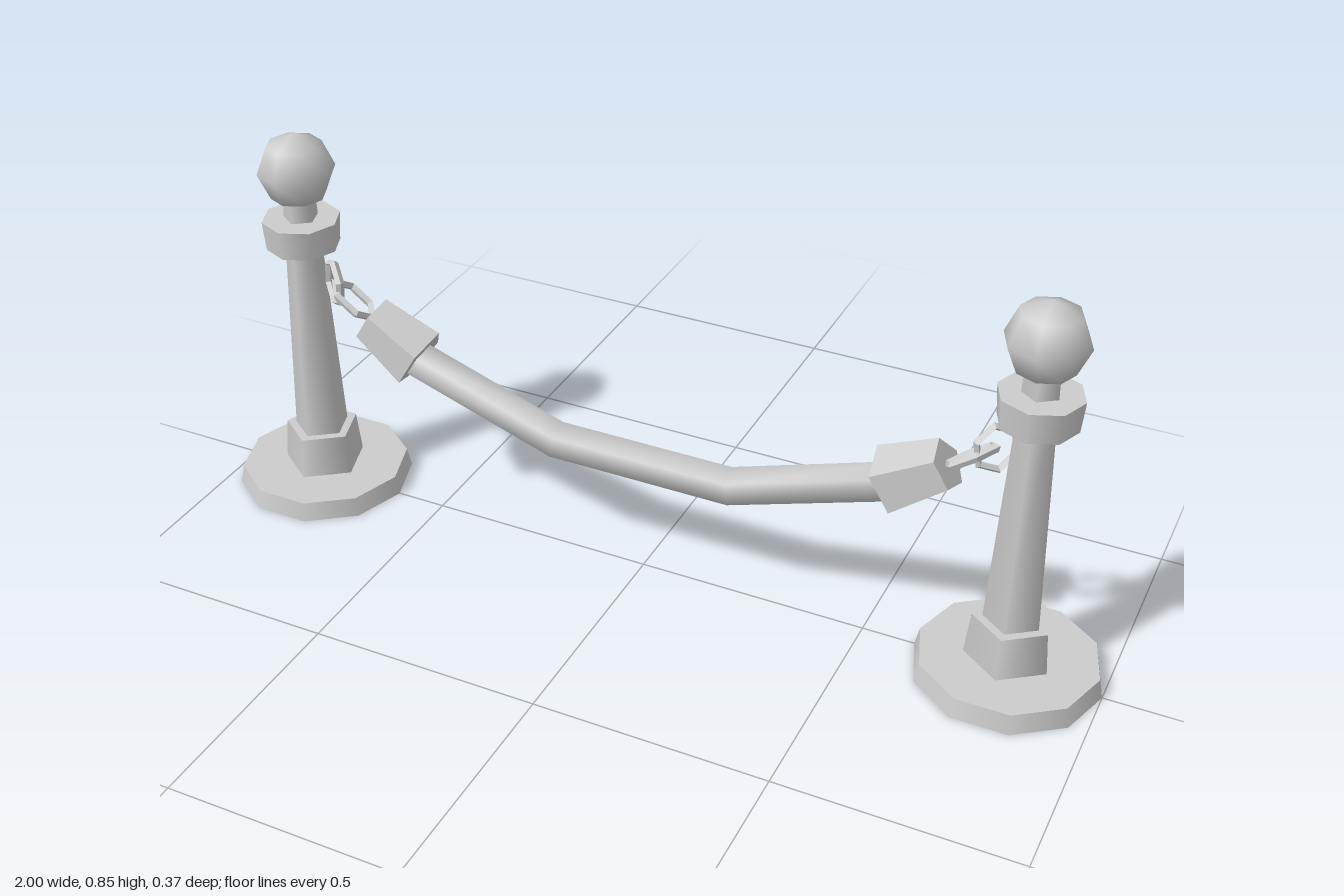
import * as THREE from 'three';

const smooth = new THREE.MeshStandardMaterial({ color: 0xcccccc });
const flat = new THREE.MeshStandardMaterial({ color: 0xcccccc, flatShading: true });
const shell = new THREE.MeshStandardMaterial({ color: 0xcccccc, side: THREE.DoubleSide });

function add(parent, name, geometry, material = smooth) {
  const mesh = new THREE.Mesh(geometry, material);
  mesh.name = name;
  parent.add(mesh);
  return mesh;
}

// Upright tapered prism between two heights
function prism(rTop, rBottom, y0, y1, sides, open = false, turn = 0) {
  return new THREE.CylinderGeometry(rTop, rBottom, y1 - y0, sides, 1, open, turn)
    .translate(0, (y0 + y1) / 2, 0);
}

// Horizontal polygon with a polygonal hole
function plate(rOuter, outerSides, turn, rInner, innerSides, y) {
  const ring = (r, n, t) => Array.from({ length: n }, (_, i) => {
    const a = t + (i / n) * Math.PI * 2;
    return new THREE.Vector2(r * Math.sin(a), -r * Math.cos(a));
  });
  const shape = new THREE.Shape(ring(rOuter, outerSides, turn));
  shape.holes.push(new THREE.Path(ring(rInner, innerSides, 0)));
  return new THREE.ShapeGeometry(shape).rotateX(-Math.PI / 2).translate(0, y, 0);
}

// Five-sided bar through stations [x, y, radius], ordered by rising x
function bar(stations) {
  const sides = 5, pos = [], index = [];
  const dir = (i, j) => new THREE.Vector2(
    stations[j][0] - stations[i][0], stations[j][1] - stations[i][1]).normalize();
  const last = stations.length - 1;
  stations.forEach(([x, y, r], i) => {
    const d = dir(Math.max(i - 1, 0), Math.min(i + 1, last));
    // Widen the joint so that the thickness holds round the bend
    const bend = i < last ? dir(i, i + 1) : d;
    const miter = i > 0 && i < last ? 1 / d.dot(bend) : 1;
    for (let j = 0; j < sides; j++) {
      const a = (j / sides) * Math.PI * 2;
      const up = r * Math.sin(a) * miter;
      pos.push(x - d.y * up, y + d.x * up, -r * Math.cos(a));
    }
  });
  for (let i = 0; i < last; i++) {
    for (let j = 0; j < sides; j++) {
      const k = (j + 1) % sides;
      const a = i * sides + j, b = i * sides + k;
      index.push(a, b, a + sides, b, b + sides, a + sides);
    }
  }
  for (let j = 1; j < sides - 1; j++) {
    const e = last * sides;
    index.push(0, j + 1, j, e, e + j, e + j + 1);
  }
  const g = new THREE.BufferGeometry();
  g.setAttribute('position', new THREE.Float32BufferAttribute(pos, 3));
  g.setIndex(index);
  g.computeVertexNormals();
  return g;
}

// Six-sided chain link in the xy plane, long along x
function link(halfLength, halfWidth) {
  return new THREE.TorusGeometry(1, 0.17, 4, 6)
    .scale(halfLength / 1.17, halfWidth / 1.17, 0.055);
}

function createPost() {
  const post = new THREE.Group();
  const quarter = Math.PI / 2;
  // Hollow foot and plinth
  add(post, 'baseRim', prism(0.185, 0.194, 0, 0.042, 10, true, quarter), shell);
  add(post, 'baseTop', plate(0.185, 10, quarter, 0.09, 5, 0.042), shell);
  add(post, 'plinth', prism(0.081, 0.09, 0.042, 0.135, 5, true), shell);
  add(post, 'plinthTop', plate(0.081, 5, 0, 0.06, 5, 0.135), shell);
  // Tapered shaft, collar and finial
  add(post, 'shaft', prism(0.035, 0.06, 0.135, 0.72, 5, true), shell);
  add(post, 'collar', prism(0.084, 0.079, 0.592, 0.657, 8));
  add(post, 'finialBall', new THREE.SphereGeometry(0.083, 8, 4).translate(0, 0.768, 0));
  return post;
}

export function createModel() {
  const model = new THREE.Group();
  model.name = 'ropeBarrier';

  for (const s of [-1, 1]) {
    const side = s < 0 ? 'right' : 'left';
    const post = createPost();
    post.name = side + 'Post';
    post.position.x = s * 0.806;
    model.add(post);

    // Two interlocked links between shaft and cuff
    const chain = new THREE.Group();
    chain.name = side + 'Chain';
    model.add(chain);
    const upper = add(chain, 'upperLink', link(0.06, 0.052), flat);
    upper.position.set(s * 0.735, 0.515, 0);
    upper.rotation.set(0, s * 0.7, s * 1.75, 'YXZ');
    const lower = add(chain, 'lowerLink', link(0.065, 0.05), flat);
    lower.position.set(s * 0.69, 0.483, 0);
    lower.rotation.set(Math.PI / 2 - 0.25, 0, s * 0.63, 'ZYX');

    // Flared cuff at the rope end
    const cuff = [[s * 0.645, 0.45, 0.054], [s * 0.53, 0.38, 0.072]];
    if (s > 0) cuff.reverse();
    add(model, side + 'Cuff', bar(cuff), flat);
  }

  // Sagging rope
  add(model, 'rope', bar([
    [-0.56, 0.385, 0.041], [-0.2, 0.264, 0.041], [0.2, 0.264, 0.041], [0.56, 0.385, 0.041],
  ]));
  return model;
}
